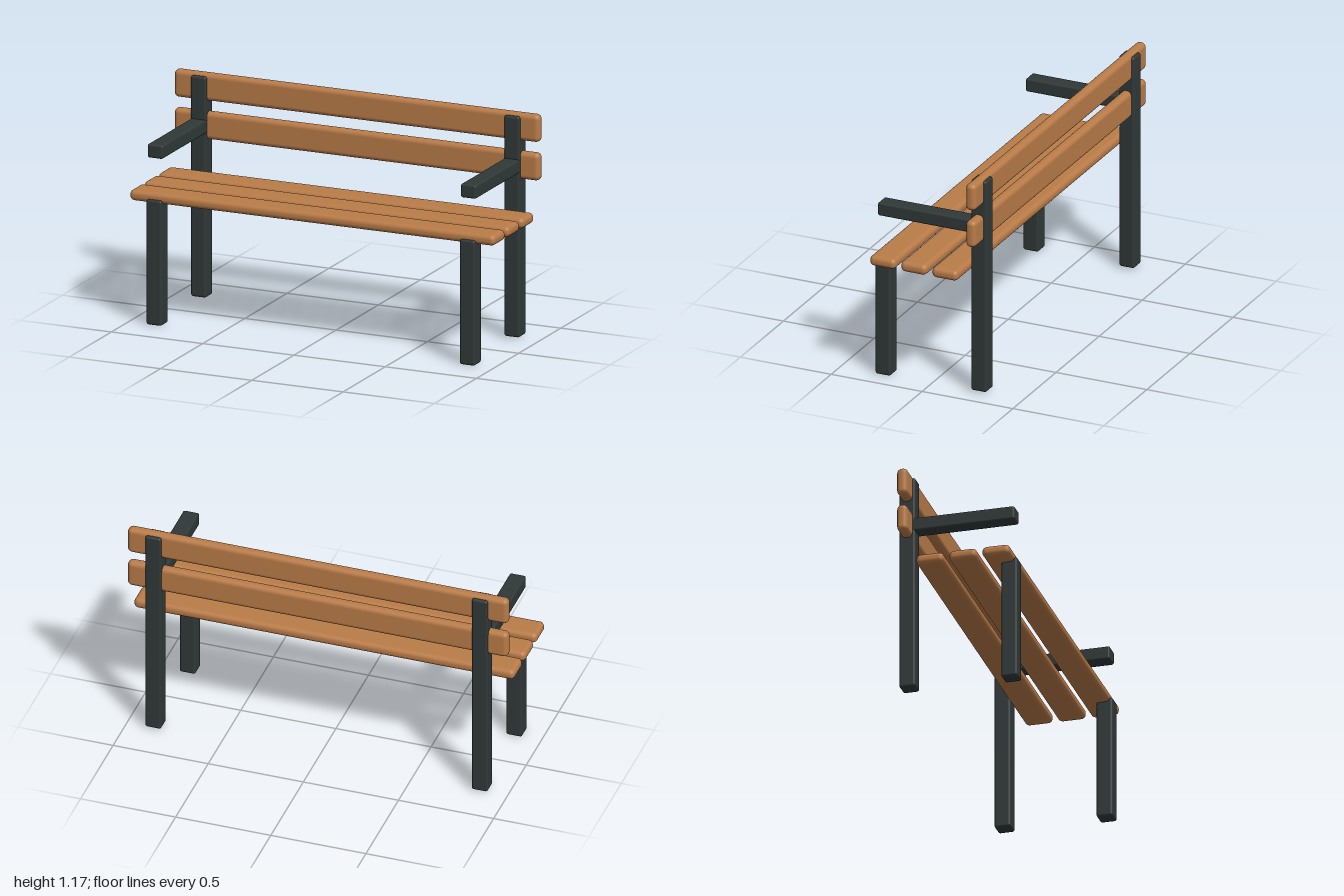
import * as THREE from 'three';
import { RoundedBoxGeometry } from 'three/addons/geometries/RoundedBoxGeometry.js';

export function createModel() {
  const bench = new THREE.Group();
  bench.name = 'bench';
  const wood = new THREE.MeshStandardMaterial({ color: 0xb97b48 });
  wood.name = 'wood';
  const iron = new THREE.MeshStandardMaterial({ color: 0x303838 });
  iron.name = 'dark iron';

  // Rounded bar given by its size and centre
  function bar(name, material, size, centre, radius) {
    const mesh = new THREE.Mesh(new RoundedBoxGeometry(...size, 4, radius), material);
    mesh.name = name;
    mesh.position.set(...centre);
    bench.add(mesh);
  }

  // Three seat slats, front to back
  for (let i = 0; i < 3; i++) {
    bar('seatSlat' + (i + 1), wood, [2, 0.055, 0.142], [0, 0.653, 0.222 - i * 0.171], 0.024);
  }

  // Two upright back slats, set into the rear posts
  [0.896, 1.095].forEach((y, i) => {
    bar('backSlat' + (i + 1), wood, [2, 0.142, 0.055], [0, y, -0.263], 0.024);
  });

  // Legs, rear posts and armrests on both sides
  for (const [side, s] of [['left', 1], ['right', -1]]) {
    const x = s * 0.858;
    bar(side + 'FrontLeg', iron, [0.084, 0.647, 0.084], [x, 0.3235, 0.265], 0.012);
    bar(side + 'BackPost', iron, [0.084, 1.142, 0.084], [x, 0.58, -0.263], 0.012);
    bar(side + 'Armrest', iron, [0.084, 0.07, 0.545], [x, 0.895, 0.02], 0.01);
  }
  return bench;
}
